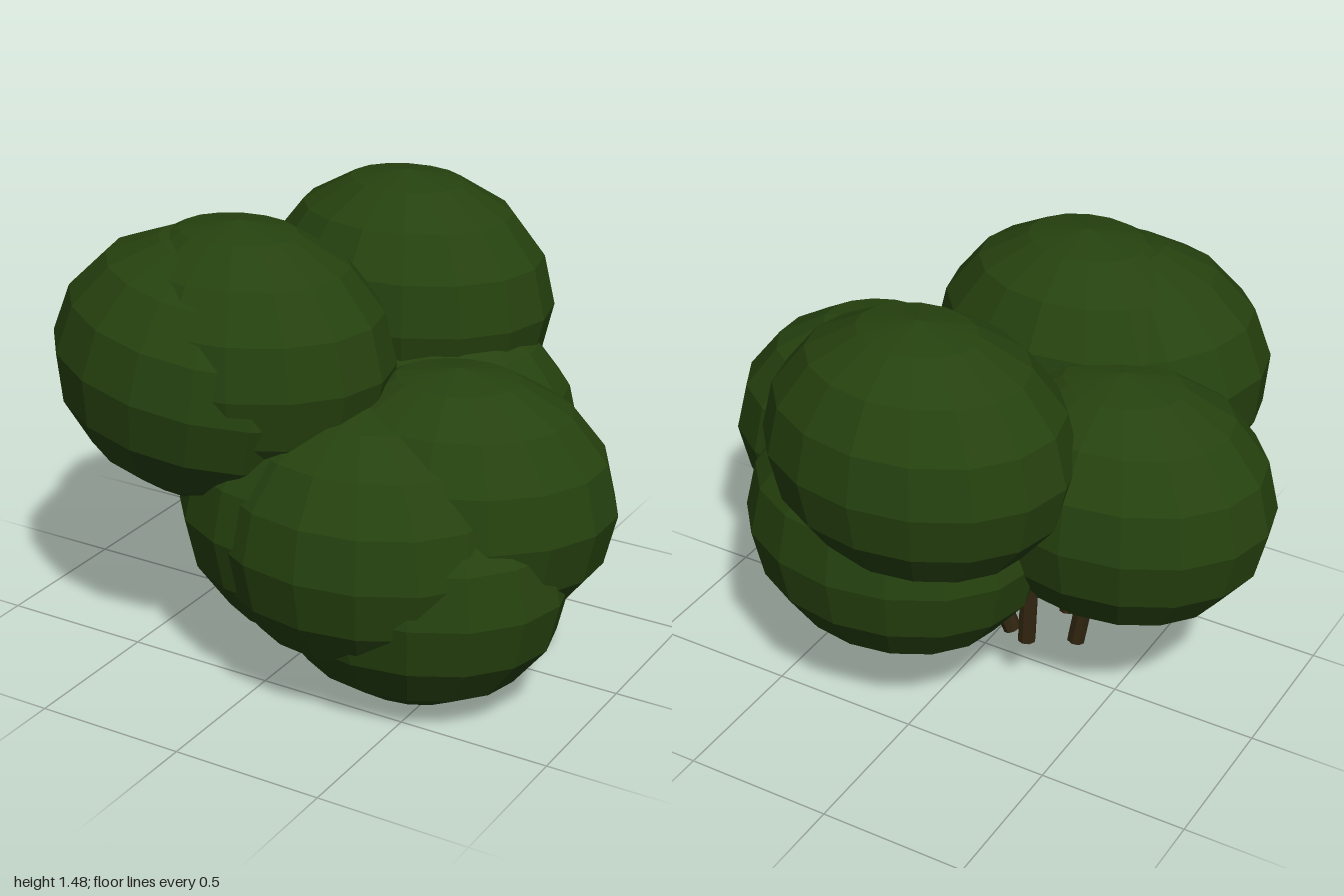
import * as THREE from 'three';

export function createModel() {
  const group = new THREE.Group();
  group.name = 'bush';
  const leafGreen = new THREE.MeshStandardMaterial({ color: 0x26420f, flatShading: true });
  leafGreen.name = 'leafGreen';
  const barkBrown = new THREE.MeshStandardMaterial({ color: 0x30240f, flatShading: true });
  barkBrown.name = 'barkBrown';

  // Foliage clumps: one faceted ellipsoid, repeated with small turns
  const clump = new THREE.SphereGeometry(1, 16, 8);
  const clumps = [
    // name, centre, rotation
    ['frontTopClump', [-0.27, 1.01, 0.40], [0, 0, -0.15]],
    ['frontTopInnerClump', [-0.17, 1.05, 0.35], [0, 0, 0]],
    ['backTopClump', [0, 1.04, -0.4], [0, 0, 0]],
    ['rightSideClump', [-0.49, 0.8, 0], [0, 0, 0]],
    ['leftSideClump', [0.5, 0.64, 0.17], [0, 0.25, 0]],
    ['backLowClump', [0.15, 0.645, -0.31], [0, 0, 0]],
    ['frontLowClump', [0.29, 0.55, 0.38], [0, 0, 0]],
    ['frontLowInnerClump', [0.15, 0.57, 0.33], [0, 0, 0]],
    ['bottomClump', [0.42, 0.43, 0.3], [0, 0, 0]],
  ];
  for (const [name, position, rotation] of clumps) {
    const mesh = new THREE.Mesh(clump, leafGreen);
    mesh.name = name;
    mesh.position.set(...position);
    mesh.rotation.set(...rotation);
    mesh.scale.set(0.51, 0.43, 0.41);
    group.add(mesh);
  }

  // Stems: thin leaning cylinders from foot to foliage
  const stems = [
    [[-0.39, 0.22, -0.08], [-0.43, 0.5, -0.06]],
    [[-0.29, 0.22, 0.05], [-0.28, 0.5, 0.08]],
    [[-0.25, 0.22, -0.16], [-0.25, 0.5, -0.14]],
    [[-0.18, 0.22, -0.13], [-0.06, 0.5, -0.15]],
    [[-0.17, 0.22, 0.07], [-0.05, 0.45, 0.12]],
  ];
  const up = new THREE.Vector3(0, 1, 0);
  for (const [foot, tip] of stems) {
    const a = new THREE.Vector3(...foot);
    const b = new THREE.Vector3(...tip);
    const dir = b.clone().sub(a);
    const stem = new THREE.Mesh(new THREE.CylinderGeometry(0.03, 0.03, dir.length(), 8), barkBrown);
    stem.name = 'stem';
    stem.position.copy(a).add(b).multiplyScalar(0.5);
    stem.quaternion.setFromUnitVectors(up, dir.normalize());
    group.add(stem);
  }
  return group;
}
